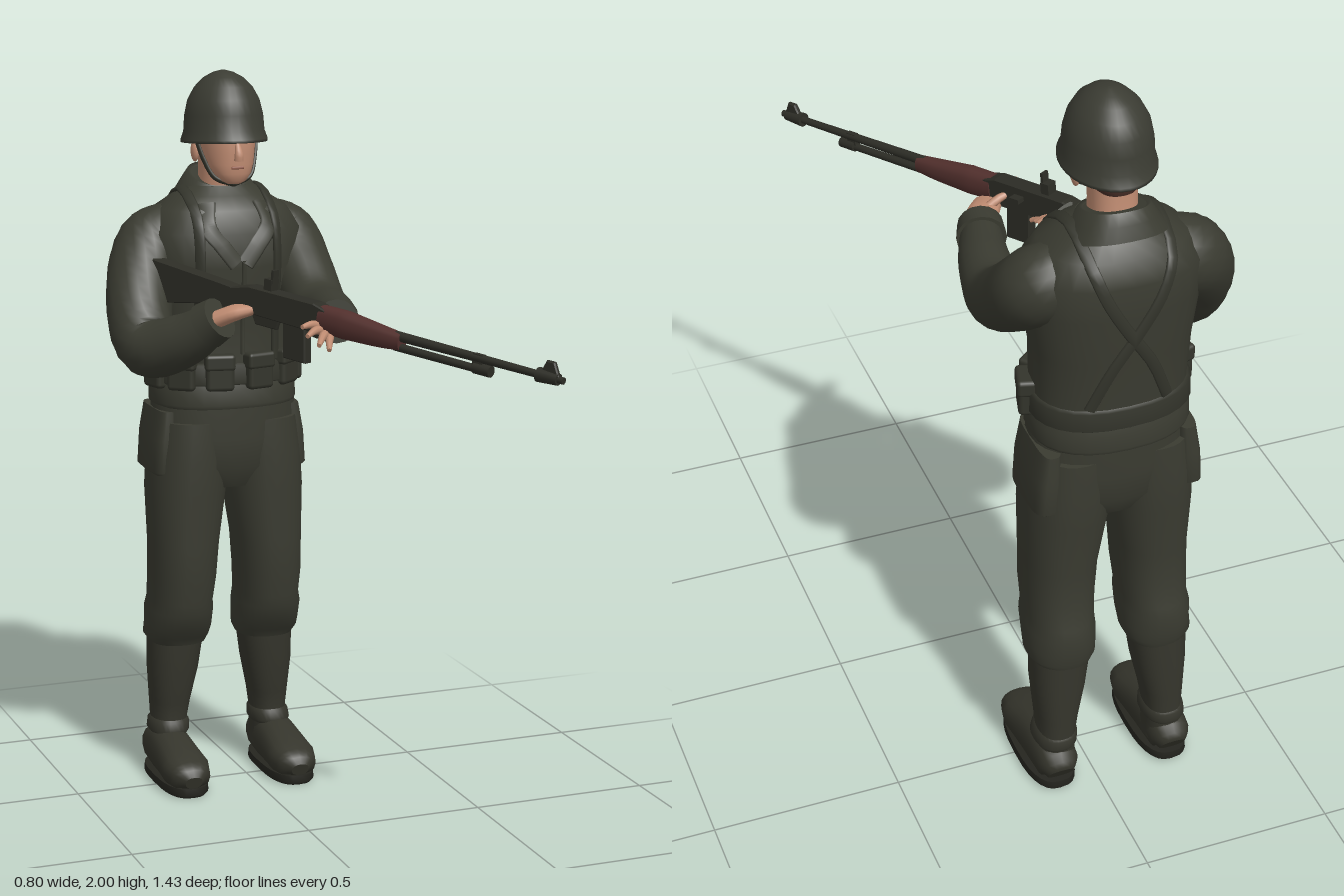
import * as THREE from 'three';
import { RoundedBoxGeometry } from 'three/addons/geometries/RoundedBoxGeometry.js';

const V = (x, y, z) => new THREE.Vector3(x, y, z);
const CX = -0.05; // body centre line

const mat = (name, color) => Object.assign(new THREE.MeshStandardMaterial({ color }), { name });
const cloth = mat('olive cloth', 0x3a3b31);
const steel = mat('helmet olive', 0x3b3c33);
const webbing = mat('dark webbing', 0x33342b);
const leather = mat('boot leather', 0x35352c);
const sole = mat('boot sole', 0x25251f);
const skin = mat('skin', 0xc08c72);
const metal = mat('gun metal', 0x2d2d26);
const wood = mat('handguard wood', 0x52302d);
const hair = mat('hair', 0x4a3029);
const lips = mat('lips', 0x96604f);

// Closed skin over a list of rings, each counter-clockwise around the path
function skinRings(rings) {
  const n = rings[0].length, pos = [], idx = [];
  rings.forEach(r => r.forEach(p => pos.push(p.x, p.y, p.z)));
  for (let i = 0; i < rings.length - 1; i++) for (let j = 0; j < n; j++) {
    const a = i * n + j, b = i * n + (j + 1) % n;
    idx.push(a, b, a + n, b, b + n, a + n);
  }
  [rings[0], rings[rings.length - 1]].forEach((r, k) => {
    const base = pos.length / 3, c = V(0, 0, 0);
    r.forEach(p => { pos.push(p.x, p.y, p.z); c.addScaledVector(p, 1 / n); });
    pos.push(c.x, c.y, c.z);
    for (let j = 0; j < n; j++) {
      const a = base + j, b = base + (j + 1) % n;
      k ? idx.push(a, b, base + n) : idx.push(b, a, base + n);
    }
  });
  const g = new THREE.BufferGeometry();
  g.setAttribute('position', new THREE.Float32BufferAttribute(pos, 3));
  g.setIndex(idx);
  g.computeVertexNormals();
  return g;
}
const pw = (v, p) => Math.sign(v) * Math.abs(v) ** p;
const angles = n => Array.from({ length: n }, (_, j) => j / n * Math.PI * 2);

// Upright form from sections [y, cx, cz, rx, rz]
function loft(sections, { n = 28, p = 0.85, tilt = 0 } = {}) {
  return skinRings(sections.map(([y, cx, cz, rx, rz]) => angles(n).map(a => {
    const dz = -rz * pw(Math.sin(a), p);
    return V(cx + rx * pw(Math.cos(a), p), y + tilt * dz, cz + dz);
  })));
}
// Form swept along a smooth path; radii are numbers or [across, up]
function sweep(pts, radii, { n = 16, steps = 18, p = 1, up = () => V(0, 1, 0) } = {}) {
  const curve = new THREE.CatmullRomCurve3(pts.map(q => V(...q)));
  const rad = radii.map(r => Array.isArray(r) ? r : [r, r]);
  const rings = [];
  for (let i = 0; i <= steps; i++) {
    const u = i / steps, f = u * (rad.length - 1), k = Math.min(Math.floor(f), rad.length - 2);
    const ra = THREE.MathUtils.lerp(rad[k][0], rad[k + 1][0], f - k);
    const rb = THREE.MathUtils.lerp(rad[k][1], rad[k + 1][1], f - k);
    const c = curve.getPoint(u), t = curve.getTangent(u);
    const side = up(c).cross(t).normalize(), top = t.clone().cross(side);
    rings.push(angles(n).map(a => c.clone().addScaledVector(side, ra * pw(Math.cos(a), p))
      .addScaledVector(top, rb * pw(Math.sin(a), p))));
  }
  return skinRings(rings);
}

// Jacket sections: [y, cx, cz, rx, rz]
const TORSO = [[1.12, -0.545, 0.2, 0.145], [1.22, -0.545, 0.195, 0.143], [1.35, -0.55, 0.2, 0.15],
  [1.48, -0.545, 0.22, 0.163], [1.57, -0.55, 0.222, 0.16], [1.63, -0.552, 0.18, 0.138],
  [1.665, -0.555, 0.125, 0.1], [1.69, -0.56, 0.09, 0.08]].map(([y, z, rx, rz]) => [y, CX, z, rx, rz]);
// Point on the jacket's front (1) or back (-1) surface
function onTorso(off, y, face) {
  let k = 0;
  while (k < TORSO.length - 2 && TORSO[k + 1][0] < y) k++;
  const f = (y - TORSO[k][0]) / (TORSO[k + 1][0] - TORSO[k][0]);
  const [cz, rx, rz] = [2, 3, 4].map(i => THREE.MathUtils.lerp(TORSO[k][i], TORSO[k + 1][i], f));
  const e = 2 / 0.85, w = Math.max(0, 1 - Math.abs(off / rx) ** e) ** (1 / e);
  return [CX + off, y, cz + face * (rz * w + 0.003)];
}

export function createModel() {
  const model = new THREE.Group();
  model.name = 'soldier';
  const add = (name, geo, m, parent = model) => {
    const mesh = new THREE.Mesh(geo, m);
    mesh.name = name;
    parent.add(mesh);
    return mesh;
  };
  const body = rows => rows.map(([y, z, rx, rz]) => [y, CX, z, rx, rz]);
  const outward = c => c.clone().sub(V(CX, 1.4, -0.55));
  const strap = (name, pts, w, m = webbing) =>
    add(name, sweep(pts, pts.map(() => [w, 0.006]), { n: 8, steps: 28, p: 0.6, up: outward }), m);

  // Jacket, skirt, belt and hips
  add('jacket', loft(TORSO), cloth);
  add('jacketSkirt', loft(body([[1.09, -0.545, 0.2, 0.152], [1.1, -0.545, 0.205, 0.156], [1.14, -0.545, 0.204, 0.153], [1.17, -0.545, 0.196, 0.145]])), cloth);
  add('belt', loft(body([[1.155, -0.545, 0.2, 0.148], [1.16, -0.545, 0.207, 0.154], [1.21, -0.545, 0.205, 0.152], [1.215, -0.545, 0.196, 0.144]])), webbing);
  add('hips', loft(body([[0.86, -0.54, 0.1, 0.1], [0.92, -0.54, 0.19, 0.132], [1.0, -0.54, 0.207, 0.14], [1.11, -0.54, 0.2, 0.14]])), cloth);
  add('collar', loft(body([[1.64, -0.56, 0.13, 0.115], [1.68, -0.562, 0.105, 0.1], [1.715, -0.565, 0.082, 0.082], [1.71, -0.565, 0.072, 0.072]]), { tilt: -0.3 }), cloth);
  strap('jacketSeam', [1.24, 1.32, 1.42, 1.5].map(y => onTorso(0.01, y, 1)), 0.006, cloth);

  // Ammunition pouches around the front of the belt
  for (const deg of [-78, -47, -16, 16, 47, 78]) {
    const a = deg * Math.PI / 180, pouch = new THREE.Group();
    pouch.name = 'beltPouch';
    pouch.position.set(CX + 0.203 * Math.sin(a), 1.19, -0.545 + 0.15 * Math.cos(a));
    pouch.rotation.y = Math.atan2(Math.sin(a) / 0.2, Math.cos(a) / 0.15);
    add('pouchBody', new RoundedBoxGeometry(0.078, 0.095, 0.045, 2, 0.012), webbing, pouch);
    add('pouchFlap', new RoundedBoxGeometry(0.084, 0.045, 0.052, 2, 0.01), webbing, pouch).position.y = 0.032;
    model.add(pouch);
  }

  for (const s of [-1, 1]) {
    const side = rows => rows.map(([y, off, z, rx, rz]) => [y, CX + s * off, z, rx, rz]);
    // Suspenders over the shoulder, crossing on the back
    strap('suspender', [...[1.22, 1.34, 1.46, 1.56, 1.62].map(y => onTorso(s * 0.11, y, 1)), [CX + s * 0.11, 1.682, -0.555],
      ...[[0.1, 1.62], [0.07, 1.54], [0.02, 1.45], [-0.05, 1.34], [-0.1, 1.22]].map(([o, y]) => onTorso(s * o, y, -1))], 0.015);
    strap('lapel', [[0.075, 1.65], [0.085, 1.59], [0.05, 1.54], [0.012, 1.49]].map(([o, y]) => onTorso(s * o, y, 1)), 0.024, cloth);
    // Trouser leg bloused over the boot
    add('trouserLeg', loft(side([[0.4, 0.13, -0.58, 0.078, 0.085], [0.42, 0.132, -0.578, 0.09, 0.093], [0.45, 0.13, -0.567, 0.09, 0.108],
      [0.5, 0.13, -0.557, 0.09, 0.122], [0.53, 0.128, -0.552, 0.086, 0.118], [0.6, 0.126, -0.538, 0.09, 0.12], [0.7, 0.122, -0.535, 0.094, 0.122],
      [0.85, 0.113, -0.54, 0.107, 0.133], [0.95, 0.107, -0.54, 0.106, 0.138], [1.05, 0.1, -0.54, 0.1, 0.135]])), cloth);
    add('trouserPocket', loft(side([[0.895, 0.19, -0.555, 0.02, 0.085], [0.91, 0.19, -0.555, 0.036, 0.102], [1.0, 0.185, -0.555, 0.034, 0.105], [1.08, 0.178, -0.555, 0.026, 0.1]]), { p: 0.6 }), cloth);
    // Boot
    add('bootShaft', loft(side([[0.06, 0.155, -0.6, 0.055, 0.07], [0.15, 0.15, -0.603, 0.047, 0.062], [0.22, 0.147, -0.597, 0.055, 0.07],
      [0.32, 0.14, -0.588, 0.07, 0.079], [0.43, 0.132, -0.582, 0.078, 0.083]])), leather);
    add('bootCuff', loft(side([[0.125, 0.152, -0.598, 0.05, 0.068], [0.135, 0.152, -0.598, 0.057, 0.072], [0.16, 0.15, -0.6, 0.055, 0.07], [0.17, 0.15, -0.6, 0.046, 0.06]])), leather);
    const x = CX + s * 0.158;
    add('shoe', sweep([[x, 0.055, -0.672], [x, 0.07, -0.65], [x, 0.077, -0.58], [x, 0.07, -0.5], [x, 0.06, -0.42], [x, 0.052, -0.37], [x, 0.045, -0.348]],
      [[0.035, 0.03], [0.054, 0.056], [0.058, 0.07], [0.062, 0.062], [0.068, 0.05], [0.055, 0.04], [0.025, 0.018]], { p: 0.85 }), leather);
    add('shoeSole', loft(side([[0, 0.158, -0.51, 0.062, 0.158], [0.008, 0.158, -0.51, 0.069, 0.165], [0.028, 0.158, -0.51, 0.067, 0.163]]), { p: 0.75 }), sole);
  }

  // Sleeves with cuffs
  const sleeve = (name, pts, radii) => {
    add(name, sweep(pts, radii, { n: 20, steps: 28 }), cloth);
    const [a, b] = pts.slice(-2).map(q => V(...q));
    const c0 = b.clone().lerp(a, 0.3), c1 = b.clone().lerp(a, -0.08);
    add(name + 'Cuff', sweep([c0.toArray(), c1.toArray()], [0.064, 0.058], { steps: 1 }), cloth);
  };
  sleeve('rightSleeve', [[-0.16, 1.57, -0.56], [-0.24, 1.53, -0.56], [-0.305, 1.41, -0.48], [-0.318, 1.285, -0.37], [-0.25, 1.315, -0.27], [-0.185, 1.38, -0.19]],
    [0.08, 0.1, 0.092, 0.082, 0.072, 0.052]);
  sleeve('leftSleeve', [[0.06, 1.57, -0.56], [0.135, 1.53, -0.56], [0.158, 1.44, -0.46], [0.16, 1.365, -0.34], [0.14, 1.37, -0.2], [0.1, 1.38, -0.06]],
    [0.08, 0.098, 0.088, 0.078, 0.066, 0.05]);

  // Hands: palm, four fingers and thumb
  const hand = (name, wrist, palm, knuckle, tips, thumb) => {
    const g = new THREE.Group();
    g.name = name;
    model.add(g);
    add('palm', sweep([wrist, palm, knuckle], [[0.028, 0.024], [0.042, 0.022], [0.036, 0.015]], { n: 12, steps: 8 }), skin, g);
    const finger = (from, tip) => {
      const mid = from.map((v, i) => (v + tip[i]) / 2 + (i === 1 ? 0.008 : 0));
      add('finger', sweep([from, mid, tip], [0.013, 0.011, 0.006], { n: 8, steps: 6 }), skin, g);
    };
    tips.forEach(tip => finger(knuckle.map((v, i) => v * 0.72 + tip[i] * 0.28), tip));
    finger(palm, thumb);
  };
  hand('rightHand', [-0.2, 1.375, -0.19], [-0.145, 1.4, -0.165], [-0.1, 1.41, -0.15],
    [[-0.025, 1.425, -0.165], [-0.025, 1.41, -0.135], [-0.03, 1.395, -0.105], [-0.03, 1.38, -0.075]], [-0.04, 1.45, -0.215]);
  hand('leftHand', [0.1, 1.38, -0.05], [0.07, 1.385, 0.0], [0.04, 1.382, 0.045],
    [[-0.055, 1.4, 0.095], [-0.05, 1.38, 0.12], [-0.03, 1.36, 0.15], [0.0, 1.345, 0.145]], [-0.02, 1.425, 0.005]);

  // Head and face
  add('neck', loft(body([[1.62, -0.565, 0.065, 0.065], [1.72, -0.55, 0.056, 0.064], [1.79, -0.545, 0.058, 0.066]])), skin);
  add('head', loft(body([[1.702, -0.44, 0.02, 0.018], [1.71, -0.445, 0.036, 0.034], [1.73, -0.46, 0.053, 0.056], [1.755, -0.485, 0.065, 0.084], [1.785, -0.508, 0.073, 0.108],
    [1.82, -0.512, 0.077, 0.113], [1.87, -0.515, 0.078, 0.11], [1.92, -0.515, 0.06, 0.08]])), skin);
  add('hair', loft(body([[1.765, -0.555, 0.05, 0.062], [1.785, -0.55, 0.068, 0.074], [1.83, -0.545, 0.081, 0.085], [1.86, -0.545, 0.081, 0.085]])), hair);
  add('nose', sweep([[CX, 1.812, -0.402], [CX, 1.785, -0.392], [CX, 1.768, -0.394]], [0.007, 0.012, 0.013], { n: 10, steps: 6, up: () => V(0, 0, 1) }), skin);
  add('mouth', new RoundedBoxGeometry(0.036, 0.008, 0.009, 2, 0.003), lips).position.set(CX, 1.748, -0.404);
  for (const s of [-1, 1]) {
    const eye = add('eye', new RoundedBoxGeometry(0.02, 0.007, 0.008, 2, 0.003), hair);
    eye.position.set(CX + s * 0.03, 1.795, -0.413);
    eye.rotation.y = s * 0.35;
    const ear = add('ear', new THREE.SphereGeometry(1, 12, 10), skin);
    ear.scale.set(0.011, 0.03, 0.018);
    ear.position.set(CX + s * 0.081, 1.785, -0.52);
    add('chinStrap', sweep([[CX + s * 0.088, 1.83, -0.5], [CX + s * 0.073, 1.765, -0.47], [CX + s * 0.05, 1.718, -0.445], [CX, 1.699, -0.432]],
      [[0.009, 0.005], [0.009, 0.005], [0.008, 0.005], [0.008, 0.005]], { n: 8, up: c => c.clone().sub(V(CX, 1.78, -0.49)) }), webbing);
  }

  // Helmet with flared rim
  add('helmet', loft(body([[1.81, -0.513, 0.108, 0.134], [1.808, -0.513, 0.115, 0.142], [1.816, -0.513, 0.115, 0.141], [1.838, -0.514, 0.108, 0.126],
    [1.88, -0.515, 0.105, 0.122], [1.92, -0.517, 0.096, 0.113], [1.955, -0.518, 0.077, 0.094], [1.98, -0.52, 0.052, 0.066], [1.994, -0.52, 0.027, 0.034],
    [2.0, -0.52, 0.004, 0.005]]), { n: 32, p: 1, tilt: 0.06 }), steel);

  // Rifle: local z runs from butt to muzzle
  const rifle = new THREE.Group();
  rifle.name = 'rifle';
  rifle.position.set(-0.275, 1.465, -0.465);
  rifle.lookAt(0.385, 1.333, 0.715);
  model.add(rifle);
  const plate = (name, pts, w, m) => {
    const geo = new THREE.ExtrudeGeometry(new THREE.Shape(pts.map(q => new THREE.Vector2(...q))),
      { depth: w - 0.008, bevelThickness: 0.004, bevelSize: 0.003, bevelSegments: 1 });
    add(name, geo.translate(0, 0, 0.004 - w / 2).rotateY(-Math.PI / 2), m, rifle);
  };
  const rod = (name, r0, r1, s0, s1, y, m) =>
    add(name, new THREE.CylinderGeometry(r1, r0, s1 - s0, 14).rotateX(Math.PI / 2).translate(0, y, (s0 + s1) / 2), m, rifle);
  const box = (name, w, h, d, x, y, z) => add(name, new THREE.BoxGeometry(w, h, d).translate(x, y, z), metal, rifle);
  plate('stock', [[0, 0.045], [0, -0.065], [0.03, -0.068], [0.2, -0.035], [0.27, -0.055], [0.31, -0.05], [0.33, -0.02], [0.36, 0.022], [0.26, 0.03]], 0.042, metal);
  plate('receiver', [[0.3, -0.025], [0.62, -0.03], [0.62, 0.03], [0.58, 0.04], [0.36, 0.04], [0.3, 0.025]], 0.046, metal);
  plate('magazine', [[0.48, -0.02], [0.49, -0.12], [0.56, -0.12], [0.55, -0.02]], 0.03, metal);
  plate('triggerGuard', [[0.36, -0.02], [0.38, -0.055], [0.45, -0.055], [0.46, -0.02]], 0.014, metal);
  box('rearSight', 0.03, 0.035, 0.025, 0, 0.055, 0.42);
  box('rearSightLeaf', 0.022, 0.035, 0.008, 0, 0.08, 0.43);
  box('boltHandle', 0.03, 0.012, 0.03, 0.03, 0.015, 0.5);
  const guard = [[0, 0.006, 0.6], [0, 0.004, 0.68], [0, 0, 0.8], [0, 0, 0.86]];
  add('handguard', sweep(guard, [[0.027, 0.035], [0.03, 0.037], [0.024, 0.028], [0.019, 0.022]], { p: 0.8 }), wood, rifle);
  rod('barrel', 0.013, 0.009, 0.84, 1.355, 0.012, metal);
  rod('gasTube', 0.011, 0.01, 0.84, 1.12, -0.016, metal);
  rod('gasCap', 0.015, 0.015, 1.09, 1.14, -0.014, metal);
  box('gasBracket', 0.014, 0.045, 0.03, 0, 0, 1.1);
  rod('muzzleCollar', 0.019, 0.015, 1.28, 1.34, 0.012, metal);
  plate('frontSight', [[1.29, 0.02], [1.305, 0.05], [1.325, 0.05], [1.34, 0.02]], 0.014, metal);

  return model;
}
